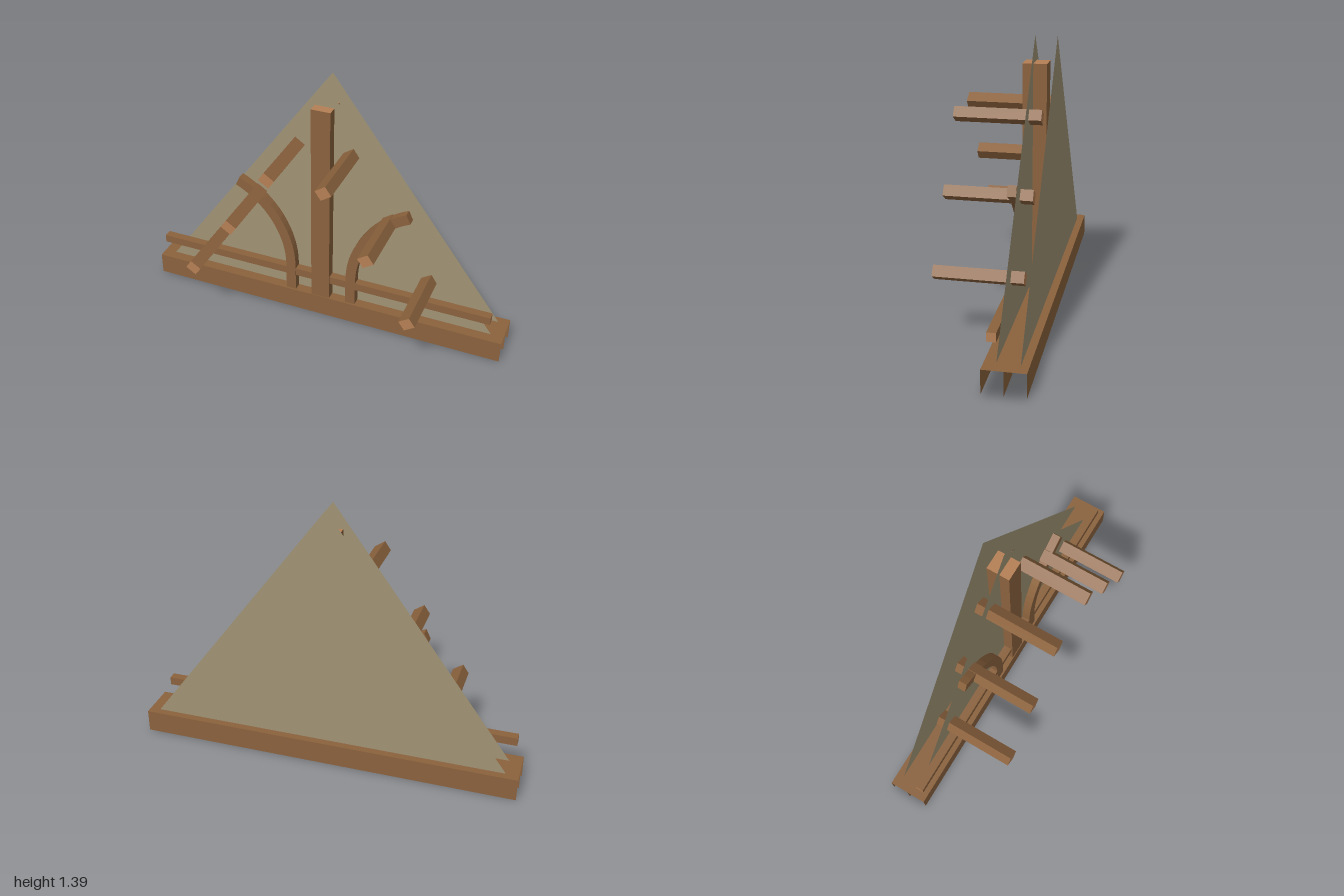
import * as THREE from 'three';

const wood = new THREE.MeshStandardMaterial({ color: 0x8b623d });
wood.name = 'wood';
const panelWood = new THREE.MeshStandardMaterial({ color: 0x8b623d, side: THREE.DoubleSide });
panelWood.name = 'thin wood';
const endGrain = new THREE.MeshStandardMaterial({ color: 0xb58055 });
endGrain.name = 'end grain';
const cloth = new THREE.MeshStandardMaterial({ color: 0xa09375, side: THREE.DoubleSide });
cloth.name = 'olive cloth';

const AXIS = -0.01; // centre line of the frame

// Beam between two corners; the ends along the given axis show end grain
function beam(name, min, max, axis) {
  const size = max.map((v, i) => v - min[i]);
  const mats = [0, 0, 1, 1, 2, 2].map((a) => (a === axis ? endGrain : wood));
  const mesh = new THREE.Mesh(new THREE.BoxGeometry(...size), mats);
  mesh.position.set(...max.map((v, i) => (v + min[i]) / 2));
  mesh.name = name;
  return mesh;
}

function plane(name, w, h, material) {
  const mesh = new THREE.Mesh(new THREE.PlaneGeometry(w, h), material);
  mesh.name = name;
  return mesh;
}

// Hollow base, open at both ends, with a dividing wall inside
function createBase() {
  const base = new THREE.Group();
  base.name = 'base';
  const back = -0.26, front = -0.056, mid = (back + front) / 2, h = 0.12;
  [['baseFront', front], ['baseDivider', mid], ['baseBack', back]].forEach(([name, z]) => {
    const wall = plane(name, 2, h, panelWood);
    wall.position.set(0, h / 2, z);
    if (z === back) wall.rotation.y = Math.PI;
    base.add(wall);
  });
  const top = plane('baseTop', 2, front - back, panelWood);
  top.rotation.x = -Math.PI / 2;
  top.position.set(0, h, mid);
  const bottom = plane('baseBottom', 2, front - back, wood);
  bottom.rotation.x = Math.PI / 2;
  bottom.position.set(0, 0, mid);
  base.add(top, bottom);
  return base;
}

// Triangular sheet
function createSheet(name, z, rightX) {
  const shape = new THREE.Shape([
    new THREE.Vector2(-0.935, 0.12),
    new THREE.Vector2(rightX, 0.12),
    new THREE.Vector2(AXIS, 1.395),
  ]);
  const mesh = new THREE.Mesh(new THREE.ShapeGeometry(shape), cloth);
  mesh.position.z = z;
  mesh.name = name;
  return mesh;
}

// Curved brace: straight leg, then an arc sweeping outward
function createBrace(side) {
  const cx = 0.69, cy = 0.28, outer = 0.545, inner = 0.49;
  const end = THREE.MathUtils.degToRad(115);
  const pts = [];
  const steps = 14;
  const arc = (r, t) => {
    const a = Math.PI + (end - Math.PI) * t;
    const x = cx + r * Math.cos(a);
    return new THREE.Vector2(side * x, cy + r * Math.sin(a));
  };
  pts.push(new THREE.Vector2(side * (cx - outer), 0.065));
  for (let i = 0; i <= steps; i++) pts.push(arc(outer, i / steps));
  for (let i = steps; i >= 0; i--) pts.push(arc(inner, i / steps));
  pts.push(new THREE.Vector2(side * (cx - inner), 0.065));
  const geo = new THREE.ExtrudeGeometry(new THREE.Shape(pts), { depth: 0.044, bevelEnabled: false });
  const mesh = new THREE.Mesh(geo, wood);
  mesh.position.set(AXIS, 0, -0.11);
  mesh.name = side > 0 ? 'leftBrace' : 'rightBrace';
  return mesh;
}

export function createModel() {
  const model = new THREE.Group();
  model.name = 'triangularRack';

  model.add(createBase());
  model.add(createSheet('frontSheet', -0.112, 0.932));
  model.add(createSheet('backSheet', -0.222, 0.945));
  model.add(beam('centrePost', [-0.06, 0.065, -0.18], [0.043, 1.263, -0.06], 1));
  model.add(beam('crossRail', [-0.965, 0.217, -0.111], [0.927, 0.261, -0.067], 0));

  // Mirrored braces and pegs, the pegs turned square to the sloping edge
  for (const side of [1, -1]) {
    model.add(createBrace(side));
    [[0.146, 1.02], [0.365, 0.688], [0.589, 0.368]].forEach(([x, y], i) => {
      const peg = beam((side > 0 ? 'leftPeg' : 'rightPeg') + (i + 1),
        [-0.032, -0.028, -0.175], [0.032, 0.028, 0.26], 2);
      peg.position.x = AXIS + side * x;
      peg.position.y = y;
      peg.rotation.z = side * THREE.MathUtils.degToRad(34);
      model.add(peg);
    });
  }
  return model;
}
